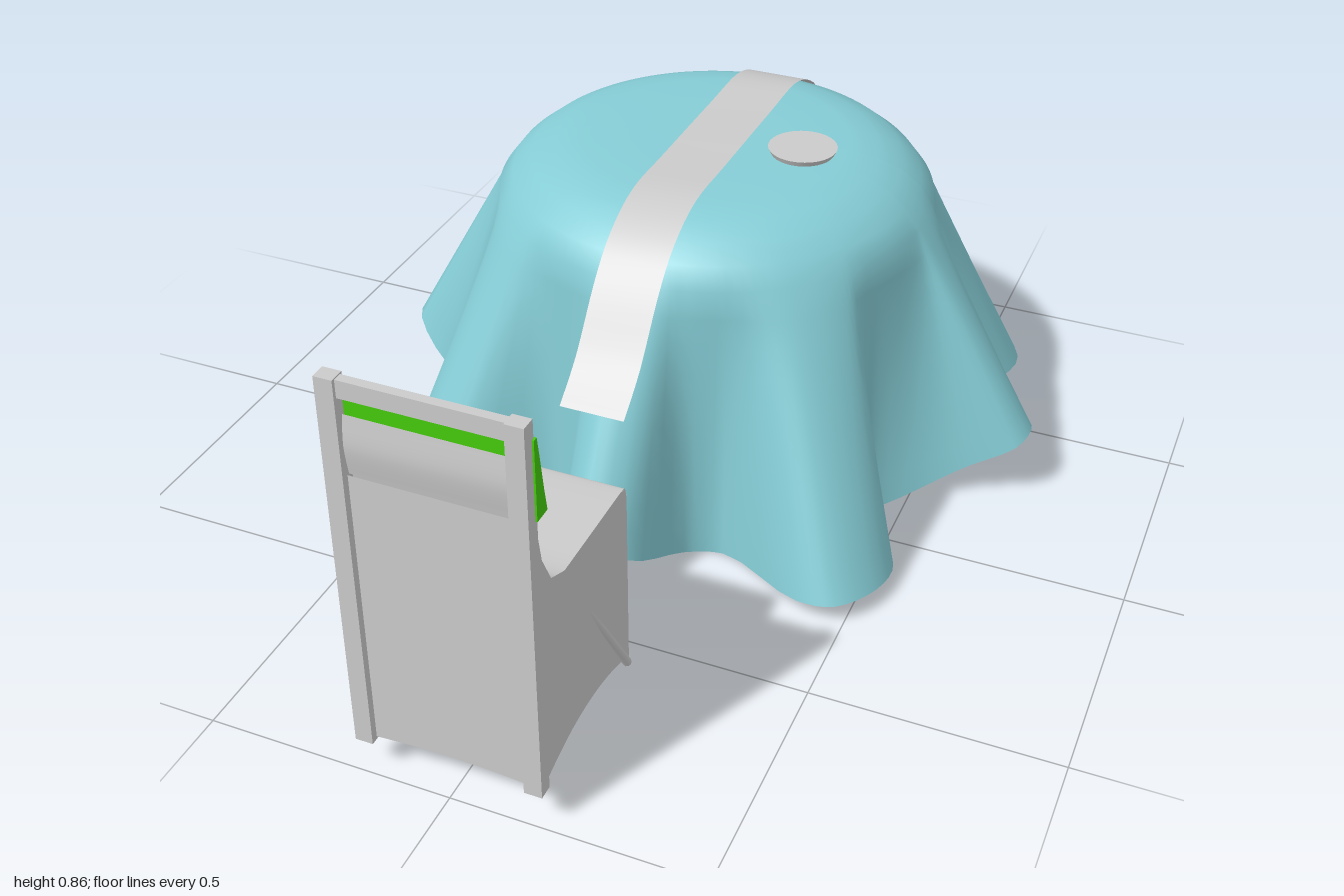
import * as THREE from 'three';

const grey = new THREE.MeshStandardMaterial({ color: 0xcccccc, side: THREE.DoubleSide });
const teal = new THREE.MeshStandardMaterial({ color: 0x86cdd6, side: THREE.DoubleSide });
const green = new THREE.MeshStandardMaterial({ color: 0x44cc0c, side: THREE.DoubleSide });

function add(parent, name, geometry, material, x = 0, y = 0, z = 0) {
  const mesh = new THREE.Mesh(geometry, material);
  mesh.name = name;
  mesh.position.set(x, y, z);
  parent.add(mesh);
  return mesh;
}

// Thin sheet of constant width swept through smoothed [z, y] points
function sheet(points, x0, x1, steps) {
  const curve = new THREE.SplineCurve(points.map(([z, y]) => new THREE.Vector2(z, y)));
  const geo = new THREE.PlaneGeometry(1, 1, 1, steps);
  const pos = geo.attributes.position;
  for (let i = 0; i <= steps; i++) {
    const p = curve.getPoint(i / steps);
    pos.setXYZ(i * 2, x0, p.y, p.x);
    pos.setXYZ(i * 2 + 1, x1, p.y, p.x);
  }
  geo.computeVertexNormals();
  return geo;
}

// Shapes drawn in (z, y) are turned to stand in the side plane
function sideShape(points) {
  const shape = new THREE.Shape();
  points.forEach(([z, y], i) => (i ? shape.lineTo(z, y) : shape.moveTo(z, y)));
  return shape;
}

// Draped cloth: round top, shoulder, then walls running out to a folded hem
function clothGeometry() {
  const cz = -0.27;
  const hem = [
    [0.01, -1], [0.09, -0.94], [0.1, -0.86], [0.15, -0.76], [0.23, -0.73],
    [0.33, -0.77], [0.42, -0.85], [0.51, -0.83], [0.6, -0.71], [0.56, -0.6], [0.47, -0.5],
    [0.48, -0.42], [0.56, -0.375], [0.66, -0.37], [0.72, -0.31], [0.71, -0.23], [0.6, -0.2], [0.5, -0.14], [0.43, -0.06],
    [0.49, 0.03], [0.55, 0.12], [0.54, 0.22], [0.48, 0.3], [0.4, 0.3], [0.2, 0.18], [0.13, 0.22],
    [0.085, 0.4], [0, 0.45], [-0.08, 0.38], [-0.11, 0.23], [-0.2, 0.18],
    [-0.4, 0.3], [-0.5, 0.27], [-0.55, 0.17], [-0.53, 0.08], [-0.44, -0.05],
    [-0.5, -0.14], [-0.62, -0.14], [-0.72, -0.22], [-0.64, -0.31], [-0.52, -0.38], [-0.48, -0.48],
    [-0.55, -0.62], [-0.58, -0.7], [-0.52, -0.79], [-0.42, -0.84], [-0.2, -0.74], [-0.12, -0.82], [-0.08, -0.94],
  ];
  const curve = new THREE.CatmullRomCurve3(hem.map(([x, z]) => new THREE.Vector3(x, 0, z)), true);
  const top = [[0, 0.73], [0.15, 0.73], [0.28, 0.729], [0.34, 0.718], [0.39, 0.697], [0.43, 0.665], [0.46, 0.625]];
  const n = 192, wall = 10, rows = top.length + wall;
  const verts = [], index = [];
  const ends = Array.from({ length: n }, (_, j) => curve.getPoint(j / n));
  for (let i = 0; i < rows; i++) {
    for (const p of ends) {
      const a = Math.atan2(p.z - cz, p.x), r = Math.hypot(p.x, p.z - cz);
      const [tr, ty] = top[Math.min(i, top.length - 1)];
      const t = Math.max(0, (i - top.length + 1) / wall);
      // hem rises where the cloth reaches further out
      const hemY = 0.005 + Math.max(0, (r - 0.47) / 0.26) * (0.045 + 0.115 * Math.max(0, Math.cos(4 * a)));
      const rr = THREE.MathUtils.lerp(tr, r, t);
      verts.push(Math.cos(a) * rr, THREE.MathUtils.lerp(ty, hemY, t), cz + Math.sin(a) * rr);
    }
  }
  for (let i = 0; i < rows - 1; i++) {
    for (let j = 0; j < n; j++) {
      const a = i * n + j, b = i * n + (j + 1) % n, c = a + n, d = b + n;
      index.push(a, b, c, b, d, c);
    }
  }
  const geo = new THREE.BufferGeometry();
  geo.setAttribute('position', new THREE.Float32BufferAttribute(verts, 3));
  geo.setIndex(index);
  geo.computeVertexNormals();
  return geo;
}

function createTable() {
  const table = new THREE.Group();
  table.name = 'table';
  add(table, 'tablecloth', clothGeometry(), teal);
  add(table, 'tableRunner', sheet([
    [-0.91, 0.44], [-0.85, 0.495], [-0.75, 0.625], [-0.67, 0.695], [-0.56, 0.736], [-0.4, 0.738],
    [-0.14, 0.738], [0.02, 0.736], [0.13, 0.695], [0.21, 0.625], [0.3, 0.51], [0.38, 0.44],
  ], -0.065, 0.07, 44), grey);
  add(table, 'plate', new THREE.CylinderGeometry(0.072, 0.066, 0.012, 32), grey, 0.19, 0.736, -0.27);
  return table;
}

function createChair() {
  const chair = new THREE.Group();
  chair.name = 'chair';
  const seatLine = [[0.615, 0.46], [0.62, 0.48], [0.64, 0.488], [0.75, 0.488], [0.87, 0.488],
    [0.92, 0.51], [0.95, 0.57], [0.965, 0.65], [0.972, 0.7]];

  // Seat and backrest cover
  add(chair, 'seatCover', sheet(seatLine, -0.18, 0.18, 40), grey);

  // Front panel with an arched hem
  const front = new THREE.Shape();
  front.moveTo(-0.18, 0.46);
  front.lineTo(-0.18, 0.085);
  front.quadraticCurveTo(0, 0.16, 0.18, 0.085);
  front.lineTo(0.18, 0.46);
  add(chair, 'frontPanel', new THREE.ShapeGeometry(front).rotateY(Math.PI), grey, 0, 0, 0.615);

  // Back panel with a shallow hem
  const back = new THREE.Shape();
  back.moveTo(-0.155, 0.67);
  back.lineTo(-0.155, 0.085);
  back.quadraticCurveTo(0, 0.1, 0.155, 0.085);
  back.lineTo(0.155, 0.67);
  add(chair, 'backPanel', new THREE.ShapeGeometry(back), grey, 0, 0, 0.985);

  // Backrest and top rail
  add(chair, 'backrest', sheet([[0.982, 0.79], [0.988, 0.73], [0.98, 0.67]], -0.155, 0.155, 10), grey);
  add(chair, 'topRail', new THREE.BoxGeometry(0.31, 0.035, 0.018), grey, 0, 0.845, 0.984);

  // Coloured sash across the backrest
  const sash = sideShape([[0.976, 0.67], [0.976, 0.828], [0.966, 0.828], [0.958, 0.78], [0.949, 0.72], [0.94, 0.67]]);
  const sashGeo = new THREE.ExtrudeGeometry(sash, { depth: 0.378, bevelEnabled: false });
  add(chair, 'sash', sashGeo.rotateY(-Math.PI / 2), green, 0.189, 0, 0);

  const side = sideShape([...seatLine, [0.98, 0.085]]);
  side.quadraticCurveTo(0.8, 0.16, 0.615, 0.085);
  for (const s of [-1, 1]) {
    add(chair, 'sidePanel', new THREE.ShapeGeometry(side).rotateY(-Math.PI / 2), grey, s * 0.18, 0, 0);
    add(chair, 'backPost', new THREE.BoxGeometry(0.035, 0.785, 0.03), grey, s * 0.168, 0.4725, 0.985);
    // Slanted front leg
    const foot = new THREE.Vector3(s * 0.182, 0.08, 0.628), head = new THREE.Vector3(s * 0.165, 0.46, 0.86);
    const leg = add(chair, 'frontLeg', new THREE.CylinderGeometry(0.009, 0.009, foot.distanceTo(head), 10), grey);
    leg.position.lerpVectors(foot, head, 0.5);
    leg.quaternion.setFromUnitVectors(new THREE.Vector3(0, 1, 0), head.sub(foot).normalize());
  }
  return chair;
}

export function createModel() {
  const model = new THREE.Group();
  model.name = 'diningSet';
  model.add(createTable(), createChair());
  return model;
}
